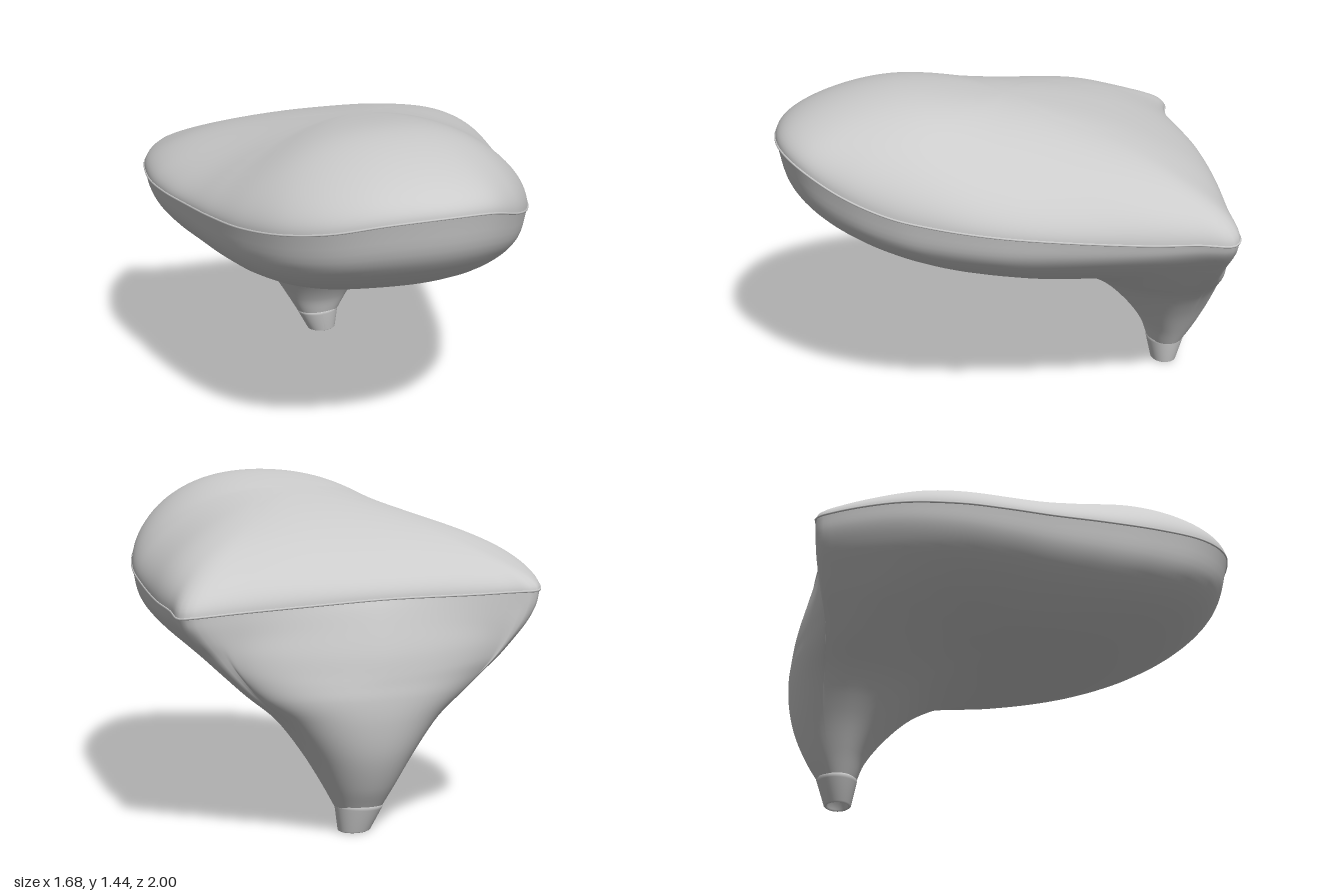
import * as THREE from 'three';

const V = (x, y, z) => new THREE.Vector3(x, y, z);
const { lerp, smoothstep } = THREE.MathUtils;
const N = 180;
const material = new THREE.MeshStandardMaterial({ color: 0xcccccc, roughness: 0.7, side: THREE.DoubleSide });

// Edge loop of the cushion, counter-clockwise seen from above, starting at the front
const seam = new THREE.CatmullRomCurve3([
  [0.05, 1.24, 1], [0.25, 1.215, 0.945], [0.42, 1.14, 0.8], [0.54, 1.08, 0.63], [0.61, 1.05, 0.48],
  [0.685, 1.015, 0.25], [0.735, 0.985, 0], [0.8, 0.95, -0.4], [0.818, 0.935, -0.62], [0.832, 0.92, -0.76],
  [0.8, 0.925, -0.8], [0.6, 0.94, -0.83], [0.3, 0.96, -0.88], [0, 0.975, -0.91], [-0.4, 0.975, -0.915],
  [-0.55, 0.98, -0.94], [-0.65, 0.985, -0.97], [-0.71, 0.99, -0.9], [-0.81, 1.01, -0.65],
  [-0.84, 1.02, -0.4], [-0.82, 1.03, -0.2], [-0.78, 1.045, 0], [-0.73, 1.07, 0.25], [-0.66, 1.1, 0.5],
  [-0.55, 1.14, 0.72], [-0.4, 1.18, 0.87], [-0.2, 1.225, 0.965],
].map((p) => V(...p)), true);
const rim = seam.getSpacedPoints(N).slice(0, N);

// Rounder copy of the edge that guides the middle of the upper face
const softRim = rim.map((_, i) => {
  const sum = V(0, 0, 0);
  for (let d = -14; d <= 14; d++) sum.add(rim[(i + d + N) % N]);
  return sum.divideScalar(29);
});

// Underside profiles, stem to edge: [fraction of the way out, height]
const stem = V(0.055, 0.11, -0.76);
const frontProfile = [[0.045, 0.11], [0.064, 0.2], [0.12, 0.34], [0.205, 0.48], [0.32, 0.58], [0.43, 0.635],
  [0.545, 0.68], [0.716, 0.76], [0.886, 0.9], [0.97, 1.05], [1, 1.24]];
const sideProfile = [[0.135, 0.11], [0.2, 0.2], [0.31, 0.34], [0.45, 0.48], [0.61, 0.58], [0.71, 0.65],
  [0.79, 0.71], [0.86, 0.77], [0.93, 0.83], [0.98, 0.885], [1, 0.93]];
const backProfile = [[0.53, 0.11], [0.875, 0.2], [1.25, 0.34], [1.44, 0.48], [1.5, 0.58], [1.5, 0.635],
  [1.5, 0.68], [1.44, 0.76], [1.25, 0.87], [1.1, 0.94], [1, 0.975]];
// How far each level follows a rounded neck instead of a straight spoke
const neckRoundness = [1, 1, 1, 0.9, 0.65, 0.4, 0.18, 0.05, 0, 0, 0];

function named(name, geometry) {
  const mesh = new THREE.Mesh(geometry, material);
  mesh.name = name;
  return mesh;
}

// Smooth surface through rings of N points, wound round and closed
function loft(name, rings, flip) {
  const index = [];
  for (let r = 0; r < rings.length - 1; r++) {
    for (let i = 0; i < N; i++) {
      const a = r * N + i, b = r * N + ((i + 1) % N);
      const c = a + N, d = b + N;
      if (flip) index.push(a, b, c, b, d, c);
      else index.push(a, c, b, b, c, d);
    }
  }
  const g = new THREE.BufferGeometry().setFromPoints(rings.flat());
  g.setIndex(index);
  g.computeVertexNormals();
  return named(name, g);
}

// Puffed upper face: crowned in front, flatter and fuller towards the rear corners
function topPoint(i, r) {
  const edge = softRim[i].clone().lerp(rim[i], r ** 4);
  const x = edge.x * r, z = edge.z * r;
  const m = z - 0.45;
  const rear = 1 - smoothstep(z, -0.6, 0.1);
  const ridge = 1.463 + 0.1 * (m - Math.sqrt(m * m + 0.02)) - lerp(0.2, 0.06, rear) * x * x;
  const end = smoothstep(Math.abs(edge.z) / Math.hypot(edge.x, edge.z), 0.3, 1);
  const full = Math.max(end, rear);
  const puff = Math.pow(1 - Math.pow(r, lerp(2.3, 3.1, full)), lerp(0.55, 0.5, full));
  return V(x, lerp(edge.y, ridge, puff), z);
}

// One underside spoke: three blended profiles, gathered into a round neck below
function underSpoke(edge, steps) {
  const front = smoothstep(edge.z, -0.75, 0.35);
  const back = edge.z < -0.77 ? Math.max(0, 1 - Math.abs(edge.x - 0.055) / 0.7) : 0;
  const mix = (k, c) => lerp(lerp(sideProfile[k][c], frontProfile[k][c], front), backProfile[k][c], back);
  const angle = Math.atan2(edge.z + 0.62, edge.x - 0.03);
  const rise = edge.y - mix(10, 1);
  const pts = neckRoundness.map((round, k) => {
    const s = mix(k, 0);
    const depth = angle > 0 ? frontProfile[k][0] * 1.76 : backProfile[k][0] * 0.16;
    return V(
      lerp(lerp(stem.x, edge.x, s), stem.x + sideProfile[k][0] * 0.78 * Math.cos(angle), round),
      mix(k, 1) + rise * (k / 10) ** 4,
      lerp(lerp(stem.z, edge.z, s), stem.z + depth * Math.sin(angle), round),
    );
  });
  return new THREE.CatmullRomCurve3(pts).getPoints(steps);
}

export function createModel() {
  const model = new THREE.Group();
  model.name = 'cushionOnStem';

  // Upper face, rings packed closer near the edge
  const topRings = [];
  for (let k = 0; k <= 36; k++) {
    const r = k === 36 ? 1 : Math.max(Math.sin((k / 36) * Math.PI / 2), 1e-4);
    topRings.push(rim.map((_, i) => topPoint(i, r)));
  }
  model.add(loft('cushionTop', topRings, false));

  // Underside sweeping down into the neck
  const spokes = rim.map((p) => underSpoke(p, 50));
  const underRings = spokes[0].map((_, k) => spokes.map((s) => s[k]));
  model.add(loft('cushionUnderside', underRings, true));

  // Fine welt along the edge
  model.add(named('edgeWelt', new THREE.TubeGeometry(seam, 240, 0.005, 6, true)));

  // Hollow collar, leaning slightly as it tapers to the foot
  const collar = new THREE.LatheGeometry([
    [0.001, 0.06], [0.045, 0.05], [0.052, 0.006], [0.06, 0], [0.069, 0.005], [0.1, 0.1], [0.104, 0.112], [0.096, 0.12],
  ].map(([r, y]) => new THREE.Vector2(r, y)), 40);
  const p = collar.attributes.position;
  for (let i = 0; i < p.count; i++) {
    const x = p.getX(i), y = p.getY(i);
    const down = 1 - y / 0.115;
    p.setXYZ(i, x + 0.055 + 0.018 * down, y + (y > 0.09 ? x * 0.06 : 0), p.getZ(i) * 0.84 - 0.764 + 0.01 * down);
  }
  collar.computeVertexNormals();
  model.add(named('stemCollar', collar));

  return model;
}
